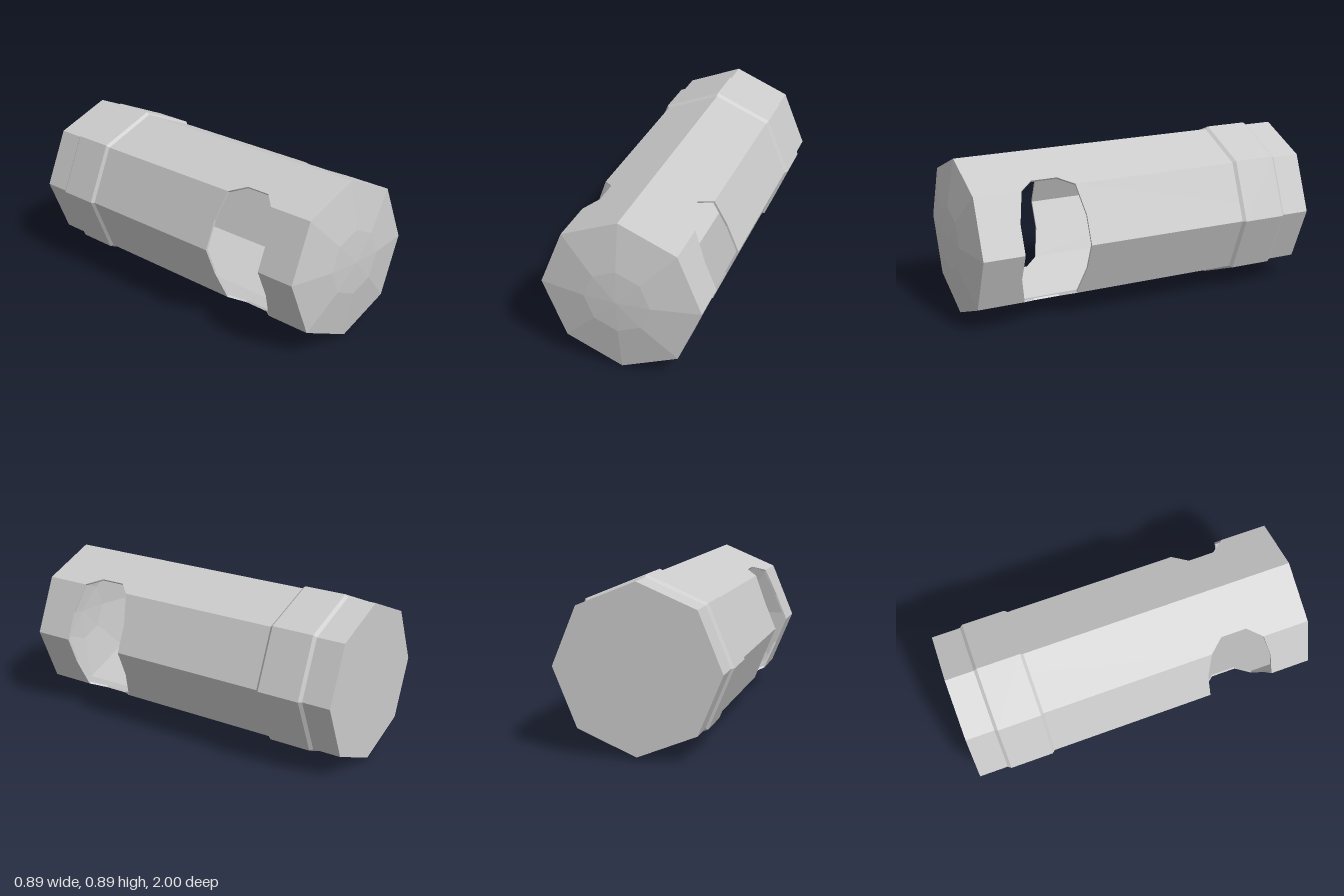
import * as THREE from 'three';
import { mergeGeometries } from 'three/addons/utils/BufferGeometryUtils.js';

const R = 0.433;        // barrel corner radius
const BAND_R = 0.447;   // raised band corner radius
const CY = BAND_R;      // height of the axis
const WALL = 0.012;     // wall thickness
const BACK = -1, FRONT = 0.945;
const WIN = 0.535;      // window centre along z

const material = new THREE.MeshStandardMaterial({
  color: 0xcccccc, flatShading: true, side: THREE.DoubleSide,
});

function addMesh(group, name, geometry) {
  const mesh = new THREE.Mesh(geometry, material);
  mesh.name = name;
  group.add(mesh);
}

// Eight-sided turned part along z, profile given as [radius, z]
function turned(profile) {
  const g = new THREE.LatheGeometry(profile.map(([r, z]) => new THREE.Vector2(r, z)), 8)
    .rotateX(Math.PI / 2).toNonIndexed();
  g.computeVertexNormals();
  return g;
}

// One flat side of the barrel: outline in (u across the side, z), given wall thickness
function wallPanel(index, outline) {
  const mirrored = index % 4 >= 2;
  const shape = new THREE.Shape(outline.map(([u, z]) => new THREE.Vector2(mirrored ? 1 - u : u, z)));
  const g = new THREE.ExtrudeGeometry(shape, { depth: 1, bevelEnabled: false });
  const a = index * Math.PI / 4, b = a + Math.PI / 4;
  const p = g.attributes.position;
  for (let i = 0; i < p.count; i++) {
    const u = p.getX(i), z = p.getY(i), r = R - WALL * (1 - p.getZ(i));
    p.setXYZ(i,
      r * THREE.MathUtils.lerp(Math.cos(a), Math.cos(b), u),
      r * THREE.MathUtils.lerp(Math.sin(a), Math.sin(b), u), z);
  }
  g.computeVertexNormals();
  return g;
}

export function createModel() {
  const group = new THREE.Group();
  group.name = 'octagonalCapsule';
  const body = new THREE.Group();
  body.name = 'body';
  body.position.y = CY;
  group.add(body);

  // Half lengths of the window at its middle, at the barrel corner and at its end
  const h0 = 0.185, h1 = 0.15, h2 = 0.072;

  // Hollow barrel with a window on the left and right
  const panels = [];
  for (let i = 0; i < 8; i++) {
    if (i % 4 === 0 || i % 4 === 3) {
      // Side panels, cut right through by the window
      for (const [s, end] of [[-1, BACK], [1, FRONT]]) {
        panels.push(wallPanel(i, [
          [0, end], [1, end], [1, WIN + s * h1], [0.49, WIN + s * h0], [0, WIN + s * h0],
        ]));
      }
    } else {
      // Top and bottom panels, notched by the window's ends
      panels.push(wallPanel(i, [
        [0, BACK], [1, BACK], [1, FRONT], [0, FRONT],
        [0, WIN + h1], [0.215, WIN + h2], [0.215, WIN - h2], [0, WIN - h1],
      ]));
    }
  }
  addMesh(body, 'barrel', mergeGeometries(panels));

  // Shallow faceted dome closing the front
  addMesh(body, 'frontDome', turned([[R, FRONT], [0.178, 0.99], [0, 1]]));

  // Flat plate closing the back
  addMesh(body, 'backPlate', turned([[0, BACK], [R, BACK]]));

  // Raised band with bevelled edges
  addMesh(body, 'raisedBand', turned([
    [R, -0.842], [BAND_R, -0.825], [BAND_R, -0.587], [R, -0.57],
  ]));

  return group;
}
